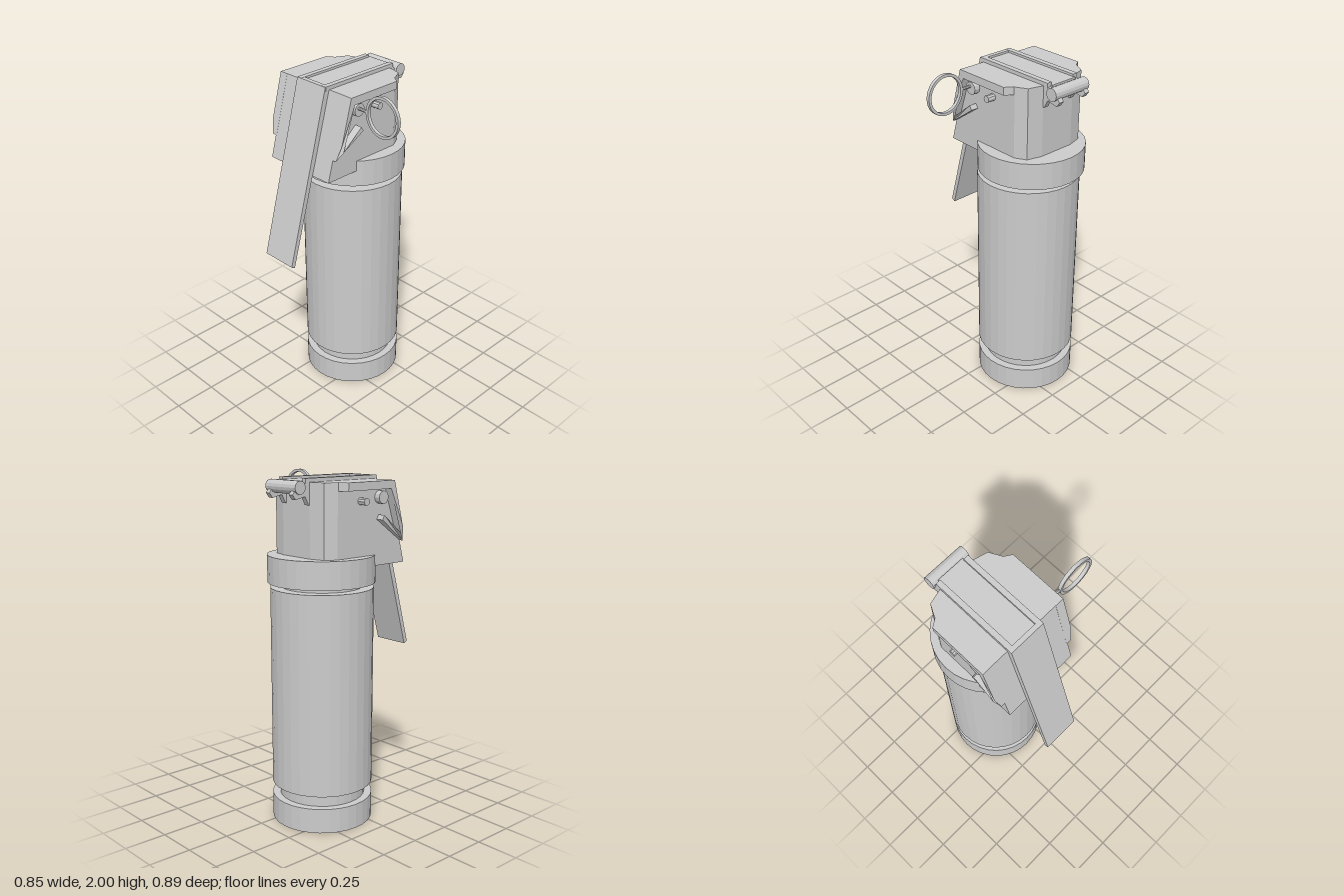
import * as THREE from 'three';

const mat = new THREE.MeshStandardMaterial({ color: 0xcccccc, flatShading: true });
const MID = -0.132; // centre line of the head and lever in x

export function createModel() {
  const root = new THREE.Group();

  const add = (name, geo, parent = root) => {
    const m = new THREE.Mesh(geo, mat);
    m.name = name;
    parent.add(m);
    return m;
  };

  // Extrudes a [z, y] side profile along x between x0 and x1
  const sideExtrude = (pts, x0, x1) => {
    const shape = new THREE.Shape(pts.map(([z, y]) => new THREE.Vector2(z, y)));
    const g = new THREE.ExtrudeGeometry(shape, { depth: x1 - x0, bevelEnabled: false });
    return g.rotateY(-Math.PI / 2).translate(x1, 0, 0);
  };

  // Cylinder lying along x
  const rod = (r, x0, x1, y, z, n = 12) =>
    new THREE.CylinderGeometry(r, r, x1 - x0, n).rotateZ(Math.PI / 2).translate((x0 + x1) / 2, y, z);

  // Turned canister with a lower groove and a neck
  const profile = [
    [0, 0], [0.292, 0], [0.292, 0.145], [0.248, 0.145], [0.248, 0.22], [0.292, 0.22],
    [0.292, 1.375], [0.226, 1.375], [0.226, 1.42], [0, 1.42],
  ].map(([r, y]) => new THREE.Vector2(r, y));
  add('canister', new THREE.LatheGeometry(profile, 32).translate(-0.118, 0, -0.13));

  // Wide collar under the head
  add('collar', new THREE.CylinderGeometry(0.303, 0.303, 0.155, 32).translate(-0.126, 1.4825, -0.142));

  // Head block: plan outline with chamfered back corners, front face leaning out downward
  const half = [[0.11, -0.328], [0.198, -0.305], [0.2325, -0.24], [0.2325, 0.14]];
  const plan = [...half, ...half.map(([x, z]) => [-x, z]).reverse()];
  const headShape = new THREE.Shape(plan.map(([x, z]) => new THREE.Vector2(x + MID, -z)));
  const headGeo = new THREE.ExtrudeGeometry(headShape, { depth: 0.465, bevelEnabled: false });
  headGeo.rotateX(-Math.PI / 2).translate(0, 1.5, 0);
  const hp = headGeo.attributes.position;
  for (let i = 0; i < hp.count; i++) {
    if (hp.getZ(i) > 0) hp.setZ(i, hp.getZ(i) + 0.28 * (1.965 - hp.getY(i)));
  }
  headGeo.computeVertexNormals();
  add('head', headGeo);

  // Side flanges: top strip, sloping front strip and lower lip
  const flange = [
    [0.236, 1.625], [0.212, 1.71], [0.141, 1.965], [-0.24, 1.965], [-0.24, 1.92],
    [0.115, 1.92], [0.198, 1.672], [0.065, 1.78], [0.05, 1.755],
  ];
  for (const s of [-1, 1]) {
    const inner = MID + s * 0.225, outer = MID + s * 0.278;
    const g = sideExtrude(flange, Math.min(inner, outer), Math.max(inner, outer));
    const p = g.attributes.position;
    for (let i = 0; i < p.count; i++) {
      if (Math.abs(p.getX(i) - outer) > 0.01) continue;
      if (p.getY(i) < 1.64) p.setX(i, outer - s * 0.022); // clipped bottom corner
      if (p.getZ(i) < -0.2) p.setZ(i, -0.205);            // clipped back corner
    }
    g.computeVertexNormals();
    add(s > 0 ? 'leftFlange' : 'rightFlange', g);
  }

  // Safety lever: sloping handle, top strap and two raised rails
  const lever = new THREE.Group();
  lever.name = 'lever';
  root.add(lever);
  add('leverHandle', sideExtrude([[0.168, 1.985], [0.448, 0.985], [0.425, 0.972], [0.141, 1.965], [0.141, 1.985]],
    MID - 0.11, MID + 0.11), lever);
  add('leverStrap', new THREE.BoxGeometry(0.17, 0.014, 0.515).translate(MID, 1.966, -0.11), lever);
  for (const s of [-1, 1]) {
    const c = MID + s * 0.095;
    add('leverRail', new THREE.BoxGeometry(0.031, 0.025, 0.52).translate(c, 1.9735, -0.095), lever);
    // Ears that carry the hinge rod
    add('hingeEar', sideExtrude([
      [-0.315, 1.97], [-0.345, 1.97], [-0.37, 1.95], [-0.43, 1.925], [-0.445, 1.905],
      [-0.425, 1.878], [-0.36, 1.892], [-0.335, 1.845], [-0.315, 1.845],
    ], c - 0.0155, c + 0.0155), lever);
  }
  add('hingeRod', rod(0.036, -0.252, -0.006, 1.94, -0.4, 14), lever);

  // Cross rivet through the head
  add('rivet', rod(0.02, -0.415, 0.15, 1.86, -0.075, 10));

  // Pull pin with boss, stem and flat ring
  const pin = new THREE.Group();
  pin.name = 'pullPin';
  root.add(pin);
  add('pinBoss', rod(0.036, -0.4, 0.135, 1.875, 0.068, 12), pin);
  add('pinStem', rod(0.009, 0.09, 0.2, 1.885, 0.073, 8), pin);
  const ringShape = new THREE.Shape().absarc(0, 0, 0.115, 0, Math.PI * 2);
  ringShape.holes.push(new THREE.Path().absarc(0, 0, 0.099, 0, Math.PI * 2, true));
  const ringGeo = new THREE.ExtrudeGeometry(ringShape, { depth: 0.02, bevelEnabled: false, curveSegments: 32 });
  add('pullRing', ringGeo.translate(0.308, 1.885, 0.063), pin);

  return root;
}
